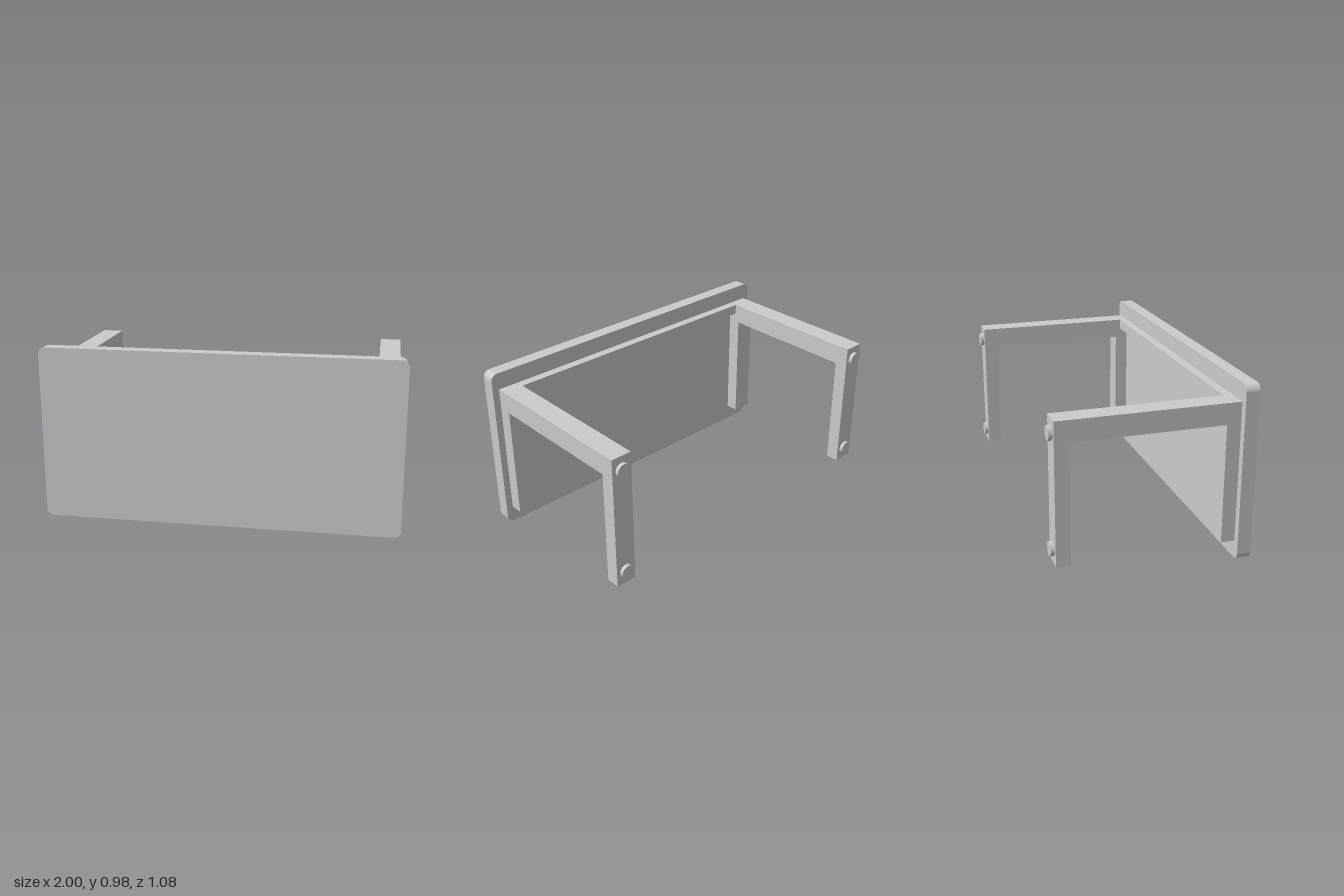
import * as THREE from 'three';

const material = new THREE.MeshStandardMaterial({ color: 0xcccccc });

function addMesh(parent, name, geometry, x = 0, y = 0, z = 0) {
  const mesh = new THREE.Mesh(geometry, material);
  mesh.name = name;
  mesh.position.set(x, y, z);
  parent.add(mesh);
  return mesh;
}

// Rounded rectangle centred on x, standing on y = 0
function roundedRect(w, h, r) {
  const s = new THREE.Shape();
  s.absarc(w / 2 - r, r, r, -Math.PI / 2, 0);
  s.absarc(w / 2 - r, h - r, r, 0, Math.PI / 2);
  s.absarc(-w / 2 + r, h - r, r, Math.PI / 2, Math.PI);
  s.absarc(-w / 2 + r, r, r, Math.PI, Math.PI * 1.5);
  s.closePath();
  return s;
}

export function createModel() {
  const group = new THREE.Group();
  group.name = 'wallFrameWithPanel';

  // Front panel with rounded corners
  const panel = new THREE.ExtrudeGeometry(roundedRect(2, 0.98, 0.04), {
    depth: 0.077, bevelEnabled: false, curveSegments: 12,
  });
  addMesh(group, 'frontPanel', panel, 0, 0, 0.462);

  // Thin marker line near the upper corner of the panel
  addMesh(group, 'markerLine', new THREE.BoxGeometry(0.12, 0.004, 0.002), 0.9, 0.882, 0.539);

  // Upside-down U profile, drawn with shape x running along z
  const profile = new THREE.Shape([
    [-0.519, 0.1], [-0.441, 0.1], [-0.441, 0.765], [0.384, 0.765],
    [0.384, 0.1], [0.462, 0.1], [0.462, 0.882], [-0.519, 0.882],
  ].map(([z, y]) => new THREE.Vector2(z, y)));
  const bracketGeometry = new THREE.ExtrudeGeometry(profile, { depth: 0.12, bevelEnabled: false });
  bracketGeometry.translate(0, 0, -0.06).rotateY(-Math.PI / 2);

  const padGeometry = new THREE.CylinderGeometry(0.039, 0.039, 0.02, 32).rotateX(Math.PI / 2);

  for (const [side, x] of [['left', 0.9], ['right', -0.9]]) {
    addMesh(group, side + 'Bracket', bracketGeometry, x);
    // Round pads on the back of the rear leg
    addMesh(group, side + 'UpperPad', padGeometry, x, 0.805, -0.529);
    addMesh(group, side + 'LowerPad', padGeometry, x, 0.178, -0.529);
  }

  // Crossbar joining the two brackets behind the panel
  addMesh(group, 'crossbar', new THREE.BoxGeometry(1.68, 0.06, 0.05), 0, 0.852, 0.437);

  return group;
}
